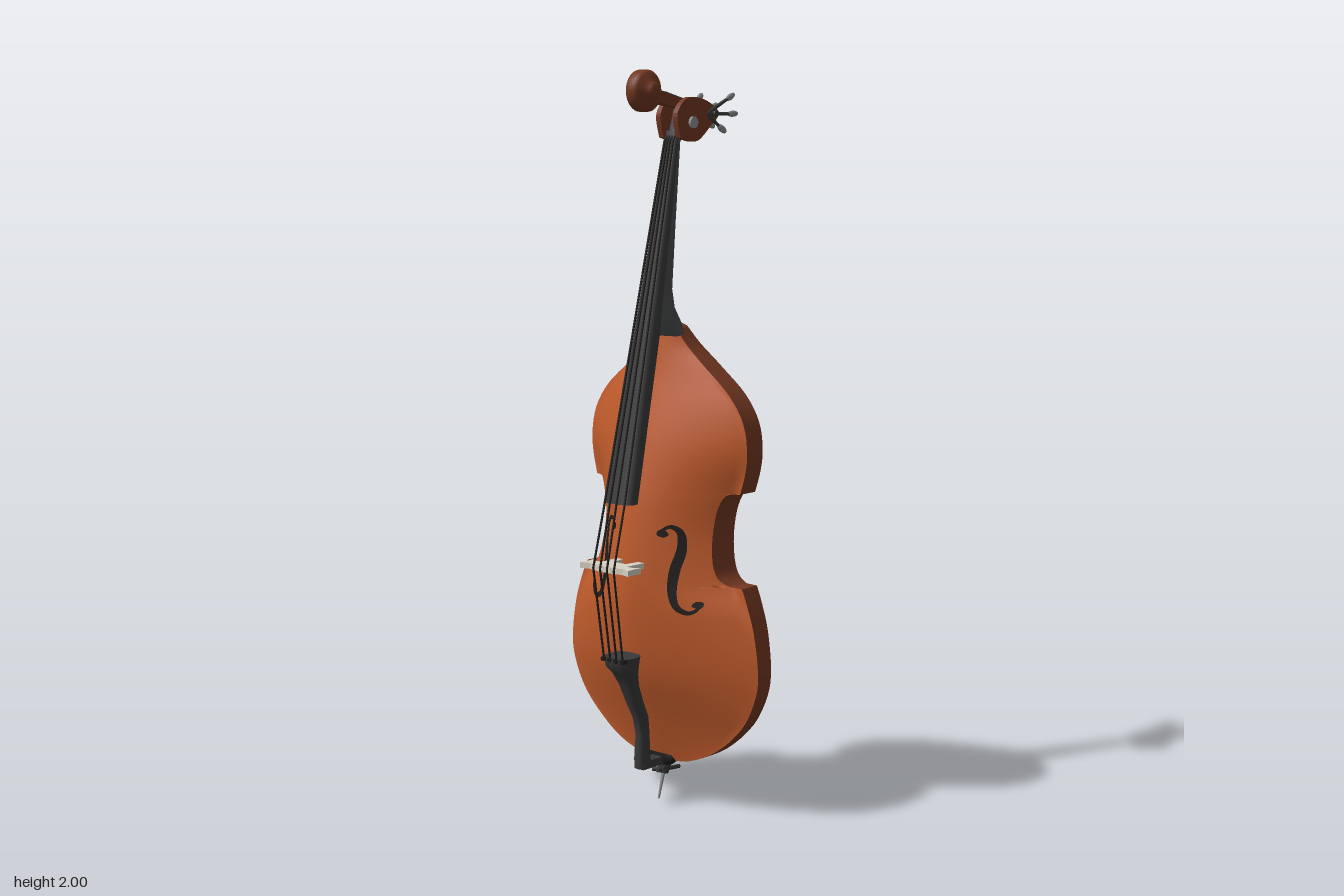
import * as THREE from 'three';

const mat = (name, color, side = THREE.FrontSide) => {
  const m = new THREE.MeshStandardMaterial({ color, side });
  m.name = name;
  return m;
};
const V = (x, y, z) => new THREE.Vector3(x, y, z);
const V2 = (p) => new THREE.Vector2(p[0], p[1]);
const spline = (pts, n) => new THREE.SplineCurve(pts.map(V2)).getPoints(n);

// smooth lookup: table of [y, value] -> function of y
function profile(table) {
  const p = spline(table, 120);
  return (y) => {
    if (y <= p[0].x) return p[0].y;
    for (let i = 1; i < p.length; i++) {
      if (y <= p[i].x) {
        const k = (y - p[i - 1].x) / (p[i].x - p[i - 1].x || 1);
        return p[i - 1].y + k * (p[i].y - p[i - 1].y);
      }
    }
    return p[p.length - 1].y;
  };
}

// surface through rows of points
function grid(rows) {
  const n = rows[0].length, idx = [];
  for (let i = 0; i < rows.length - 1; i++) {
    for (let j = 0; j < n - 1; j++) {
      const a = i * n + j, d = a + n;
      idx.push(a, a + 1, d, a + 1, d + 1, d);
    }
  }
  const g = new THREE.BufferGeometry().setFromPoints(rows.flat());
  g.setIndex(idx);
  g.computeVertexNormals();
  return g;
}

// closed solid from sections [y, zBack, zFront, halfWidth], listed upwards
function loft(sections, e = 0.7, n = 28) {
  const pw = (v) => Math.sign(v) * Math.abs(v) ** e;
  const rings = sections.map(([y, zb, zf, w]) => Array.from({ length: n + 1 }, (_, j) => {
    const a = (j / n) * Math.PI * 2;
    return V(w * pw(Math.sin(a)), y, (zb + zf) / 2 + ((zf - zb) / 2) * pw(Math.cos(a)));
  }));
  const cap = ([y, zb, zf]) => Array.from({ length: n + 1 }, () => V(0, y, (zb + zf) / 2));
  const last = rings.length - 1;
  return grid([cap(sections[0]), rings[0].map((p) => p.clone()), ...rings,
    rings[last].map((p) => p.clone()), cap(sections[last])]);
}

// extrude a (z, y) outline across x, centred on x
function sideExtrude(shape, width, x = 0) {
  const g = new THREE.ExtrudeGeometry(shape, { depth: width, bevelEnabled: false, curveSegments: 10 });
  return g.rotateY(-Math.PI / 2).translate(x + width / 2, 0, 0);
}

function rod(a, b, r, r2 = r) {
  const g = new THREE.CylinderGeometry(r2, r, a.distanceTo(b), 10);
  g.applyQuaternion(new THREE.Quaternion().setFromUnitVectors(V(0, 1, 0), b.clone().sub(a).normalize()));
  const c = a.clone().add(b).multiplyScalar(0.5);
  return g.translate(c.x, c.y, c.z);
}

export function createModel() {
  const group = new THREE.Group();
  const amber = mat('amber varnish', 0xbe5a2b), brown = mat('brown varnish', 0x733823);
  const ebony = mat('ebony', 0x39393a), grey = mat('dark grey neck', 0x484a4b);
  const black = mat('black', 0x1e1c1b, THREE.DoubleSide);
  const metal = mat('metal', 0x8b8e90), cream = mat('cream maple', 0xd8d1c2);
  const add = (name, geo, m) => {
    const mesh = new THREE.Mesh(geo, m);
    mesh.name = name;
    group.add(mesh);
    return mesh;
  };

  // body half outline (x, y): lower bout, waist with corners, upper bout
  const lower = spline([[0, 0.113], [0.1, 0.125], [0.2, 0.172], [0.29, 0.255], [0.335, 0.345], [0.343, 0.42],
    [0.328, 0.52], [0.305, 0.59], [0.285, 0.636]], 32);
  const waist = [V2([0.285, 0.636]), ...spline([[0.248, 0.637], [0.22, 0.658], [0.203, 0.7], [0.196, 0.765],
    [0.203, 0.83], [0.22, 0.873], [0.237, 0.885]], 18), V2([0.262, 0.886])];
  const upper = [...spline([[0.262, 0.886], [0.277, 0.94], [0.283, 1.0], [0.268, 1.075], [0.22, 1.145],
    [0.14, 1.212], [0.075, 1.27], [0.042, 1.32]], 28), V2([0, 1.335])];
  const outline = [...lower, ...waist, ...upper];

  // arching of the belly and back
  const domeWidth = profile([[0.1, 0.14], [0.2, 0.23], [0.3, 0.315], [0.42, 0.343], [0.55, 0.31], [0.65, 0.25],
    [0.77, 0.222], [0.88, 0.245], [1.0, 0.283], [1.1, 0.25], [1.2, 0.155], [1.27, 0.08], [1.34, 0.05]]);
  const ridge = profile([[0.11, 0.003], [0.25, 0.055], [0.4, 0.11], [0.6, 0.136], [0.8, 0.121], [1.0, 0.08],
    [1.2, 0.022], [1.34, -0.005]]);
  const edge = profile([[0.11, 0], [0.64, 0], [0.9, -0.018], [1.2, -0.022], [1.34, -0.012]]);
  const rim = profile([[0.11, -0.042], [0.4, -0.053], [0.64, -0.063], [0.89, -0.08], [1.1, -0.088], [1.24, -0.082],
    [1.34, -0.045]]);
  const bellyZ = (x, y) => {
    const t = Math.min(1, Math.abs(x) / domeWidth(y));
    return edge(y) + (ridge(y) - edge(y)) * (1 - t ** 1.6);
  };
  const cols = Array.from({ length: 41 }, (_, j) => j / 20 - 1);
  add('belly', grid(outline.map((p) => cols.map((t) => V(t * p.x, p.y, bellyZ(t * p.x, p.y))))), amber);
  add('back', grid(outline.map((p) => cols.map((t) =>
    V(-t * p.x, p.y, rim(p.y) - 0.012 * (1 - t * t))))), brown);
  for (const s of [1, -1]) {
    for (const seg of [lower, waist, upper]) {
      add('rib', grid(seg.map((p) => {
        const row = [V(s * p.x, p.y, bellyZ(p.x, p.y)), V(s * p.x, p.y, rim(p.y))];
        return s > 0 ? row : row.reverse();
      })), brown);
    }
  }

  // sound holes lying on the belly
  const path = new THREE.SplineCurve([[0.088, 0.765], [0.092, 0.787], [0.112, 0.793], [0.132, 0.775], [0.136, 0.73],
    [0.126, 0.68], [0.124, 0.625], [0.138, 0.582], [0.168, 0.567], [0.19, 0.578], [0.188, 0.598]].map(V2));
  for (const s of [1, -1]) {
    const rows = [];
    for (let i = 0; i <= 60; i++) {
      const u = i / 60, p = path.getPoint(u), d = path.getTangent(u);
      const bulb = Math.max(0, 1 - Math.min(u, 1 - u) / 0.09);
      const w = 0.004 + 0.009 * Math.sin(Math.PI * u) ** 3 + 0.011 * Math.sin(Math.PI * bulb);
      rows.push([-1, 0, 1].map((k) => {
        const x = p.x - d.y * w * k, y = p.y + d.x * w * k;
        return V(s * x, y, bellyZ(x, y) + 0.004);
      }));
    }
    add('soundHole', grid(rows), black);
  }

  // neck with flared heel, and fingerboard
  add('neck', loft([[1.295, -0.052, 0.012, 0.056], [1.33, -0.046, 0.035, 0.045], [1.37, -0.028, 0.055, 0.036],
    [1.42, -0.02, 0.052, 0.032], [1.6, -0.036, 0.012, 0.026], [1.84, -0.056, -0.036, 0.022]]), grey);
  add('fingerboard', loft([[0.857, 0.138, 0.19, 0.05], [1.3, 0.036, 0.088, 0.036], [1.5, 0.0, 0.042, 0.03],
    [1.82, -0.05, -0.03, 0.022]]), ebony);

  // pegbox cheeks, arm and scroll
  const cheek = new THREE.Shape(new THREE.SplineCurve([[-0.03, 1.822], [-0.095, 1.812], [-0.15, 1.85], [-0.187, 1.888],
    [-0.13, 1.922], [-0.06, 1.927], [-0.018, 1.885], [-0.03, 1.822]].map(V2)).getPoints(40));
  for (const s of [1, -1]) {
    add('pegboxCheek', sideExtrude(cheek, 0.016, s * 0.03), brown);
    add('cheekBolt', rod(V(s * 0.034, 1.862, -0.078), V(s * 0.046, 1.862, -0.078), 0.016), metal);
  }
  add('pegboxCore', loft([[1.82, -0.085, -0.035, 0.022], [1.87, -0.11, -0.05, 0.022],
    [1.91, -0.12, -0.06, 0.02]]), grey);
  const arm = [[-0.15, 1.885], [-0.1, 1.892], [0.06, 1.92], [0.06, 1.948], [0, 1.94], [-0.1, 1.915], [-0.15, 1.905]];
  add('scrollArm', sideExtrude(new THREE.Shape(arm.map(V2)), 0.038), brown);
  const strip = [[-0.15, 1.9], [0.03, 1.93], [0.03, 1.947], [0, 1.943], [-0.1, 1.918], [-0.15, 1.908]];
  add('scrollArmTop', sideExtrude(new THREE.Shape(strip.map(V2)), 0.03), grey);
  const half = [[0.001, 0.047], [0.014, 0.046], [0.022, 0.04], [0.023, 0.033], [0.034, 0.027], [0.046, 0.02],
    [0.055, 0.013]];
  const turn = [...half.map(([r, x]) => [r, -x]), ...half.slice().reverse()];
  add('scroll', new THREE.LatheGeometry(turn.map(V2), 32).rotateZ(-Math.PI / 2).translate(0, 1.945, 0.073), brown);

  // tuning pegs fanning out at the rear
  const pegs = [[0.054, 1.93, -0.215], [0.06, 1.885, -0.218], [0.05, 1.845, -0.185], [0.006, 1.905, -0.205]];
  for (const s of [1, -1]) {
    pegs.forEach(([x, y, z], i) => {
      const tip = V(s * x, y - (i === 3 && s < 0 ? 0.05 : 0), z), root = V(s * Math.min(x, 0.034), 1.885, -0.14);
      add('pegShaft', rod(root, tip, 0.006, 0.004), ebony);
      const dir = tip.clone().sub(root).normalize();
      const leaf = new THREE.SphereGeometry(1, 12, 8).scale(0.006, 0.017, 0.009);
      leaf.applyQuaternion(new THREE.Quaternion().setFromUnitVectors(V(0, 1, 0), dir));
      add('pegKey', leaf.translate(tip.x, tip.y, tip.z), metal);
    });
    add('pegCollar', rod(V(s * 0.028, 1.885, -0.165), V(s * 0.05, 1.885, -0.165), 0.009), ebony);
  }

  // bridge, standing out from the belly
  const side = [[0.02, 0.232], [0.06, 0.224], [0.088, 0.232], [0.084, 0.205], [0.088, 0.182], [0.066, 0.194],
    [0.048, 0.192], [0.05, 0.128], [0.028, 0.128], [0.022, 0.17]];
  const plate = new THREE.Shape([...side, ...side.slice().reverse().map(([x, z]) => [-x, z])].map(V2));
  add('bridge', new THREE.ExtrudeGeometry(plate, { depth: 0.016, bevelEnabled: false })
    .rotateX(Math.PI / 2).translate(0, 0.694, 0), cream);

  // strings
  for (const k of [-1.5, -0.5, 0.5, 1.5]) {
    const drop = Math.abs(k) > 1 ? 0.006 : 0;
    const pts = [V(k * 0.009, 1.84, -0.045), V(k * 0.01, 1.815, -0.026), V(k * 0.024, 0.857, 0.196 - drop),
      V(k * 0.025, 0.686, 0.234), V(k * 0.023, 0.425, 0.196)];
    for (let i = 0; i < 4; i++) add('string', rod(pts[i], pts[i + 1], 0.003), black);
    add('stringAnchor', rod(V(k * 0.023, 0.43, 0.17), V(k * 0.023, 0.43, 0.203), 0.007), black);
  }

  // tailpiece, its foot and the saddle
  add('tailpiece', loft([[0.104, 0.045, 0.1, 0.018], [0.13, 0.06, 0.105, 0.018], [0.2, 0.062, 0.1, 0.016],
    [0.25, 0.068, 0.11, 0.018], [0.3, 0.092, 0.135, 0.022], [0.35, 0.115, 0.155, 0.028], [0.385, 0.125, 0.175, 0.037],
    [0.41, 0.125, 0.2, 0.044], [0.437, 0.12, 0.2, 0.046]]), ebony);
  add('tailFoot', new THREE.BoxGeometry(0.034, 0.022, 0.11).translate(0, 0.114, 0.04), ebony);
  add('saddle', loft([[0.1, -0.025, 0.012, 0.03], [0.118, -0.02, 0.02, 0.055], [0.132, -0.015, 0.018, 0.045]]), black);

  // endpin with its clamp screw
  add('endpinCollar', rod(V(0, 0.07, -0.005), V(0, 0.115, -0.015), 0.014, 0.022), ebony);
  add('endpin', rod(V(0, 0, 0.015), V(0, 0.09, -0.01), 0.003, 0.006), metal);
  add('clampScrew', rod(V(0, 0.082, 0.02), V(0, 0.074, -0.07), 0.006), ebony);
  add('clampBar', rod(V(-0.034, 0.074, 0.0), V(0.014, 0.09, 0.0), 0.006), ebony);
  return group;
}
